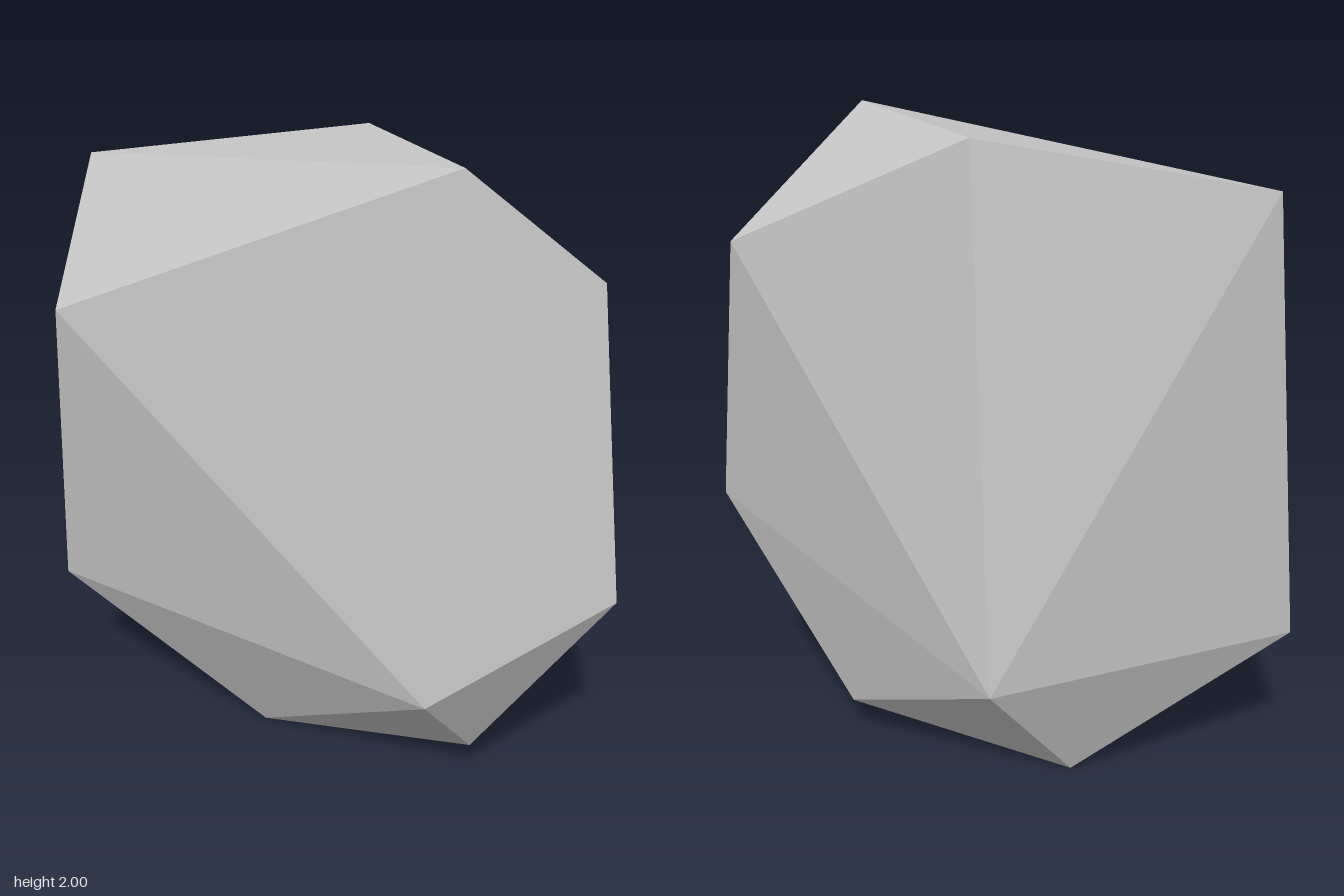
import * as THREE from 'three';

// Flat faceted stone slab: 11 corners joined by 18 flat triangles.
const corners = {
  topLeft: [-0.755, 1.84, -0.05],
  topFront: [0.422, 2.0, 0.181],
  topBack: [0.032, 1.972, -0.19],
  shoulderFront: [-0.722, 1.48, 0.25],
  shoulderBack: [0.726, 1.652, -0.107],
  sideRight: [0.874, 0.81, 0.067],
  sideLeft: [-0.877, 0.49, 0.1],
  bellyFront: [0.412, 0.467, 0.292],
  bellyBack: [-0.04, 0.393, -0.292],
  footLeft: [-0.24, 0, -0.02],
  footRight: [0.47, 0.14, 0.012],
};

// Each facet lists its corners counter-clockwise from outside
const facets = [
  // front
  ['topLeft', 'shoulderFront', 'topFront'],
  ['shoulderFront', 'bellyFront', 'topFront'],
  ['shoulderFront', 'sideLeft', 'bellyFront'],
  ['topLeft', 'sideLeft', 'shoulderFront'],
  ['sideLeft', 'footLeft', 'bellyFront'],
  ['footLeft', 'footRight', 'bellyFront'],
  ['bellyFront', 'footRight', 'sideRight'],
  ['bellyFront', 'sideRight', 'topFront'],
  ['topFront', 'sideRight', 'shoulderBack'],
  // top
  ['topLeft', 'topFront', 'topBack'],
  ['topFront', 'shoulderBack', 'topBack'],
];

// The back is a fan of facets around one corner
const rim = ['topLeft', 'topBack', 'shoulderBack', 'sideRight', 'footRight', 'footLeft', 'sideLeft'];
rim.forEach((name, i) => facets.push([name, rim[(i + 1) % rim.length], 'bellyBack']));

export function createModel() {
  const stone = new THREE.MeshStandardMaterial({ color: 0xc5c5c5, flatShading: true });
  stone.name = 'light stone grey';

  const positions = facets.flat().flatMap((name) => corners[name]);
  const geometry = new THREE.BufferGeometry();
  geometry.setAttribute('position', new THREE.Float32BufferAttribute(positions, 3));
  geometry.computeVertexNormals();

  const rock = new THREE.Mesh(geometry, stone);
  rock.name = 'rock';
  const group = new THREE.Group();
  group.name = 'facetedRock';
  group.add(rock);
  return group;
}
